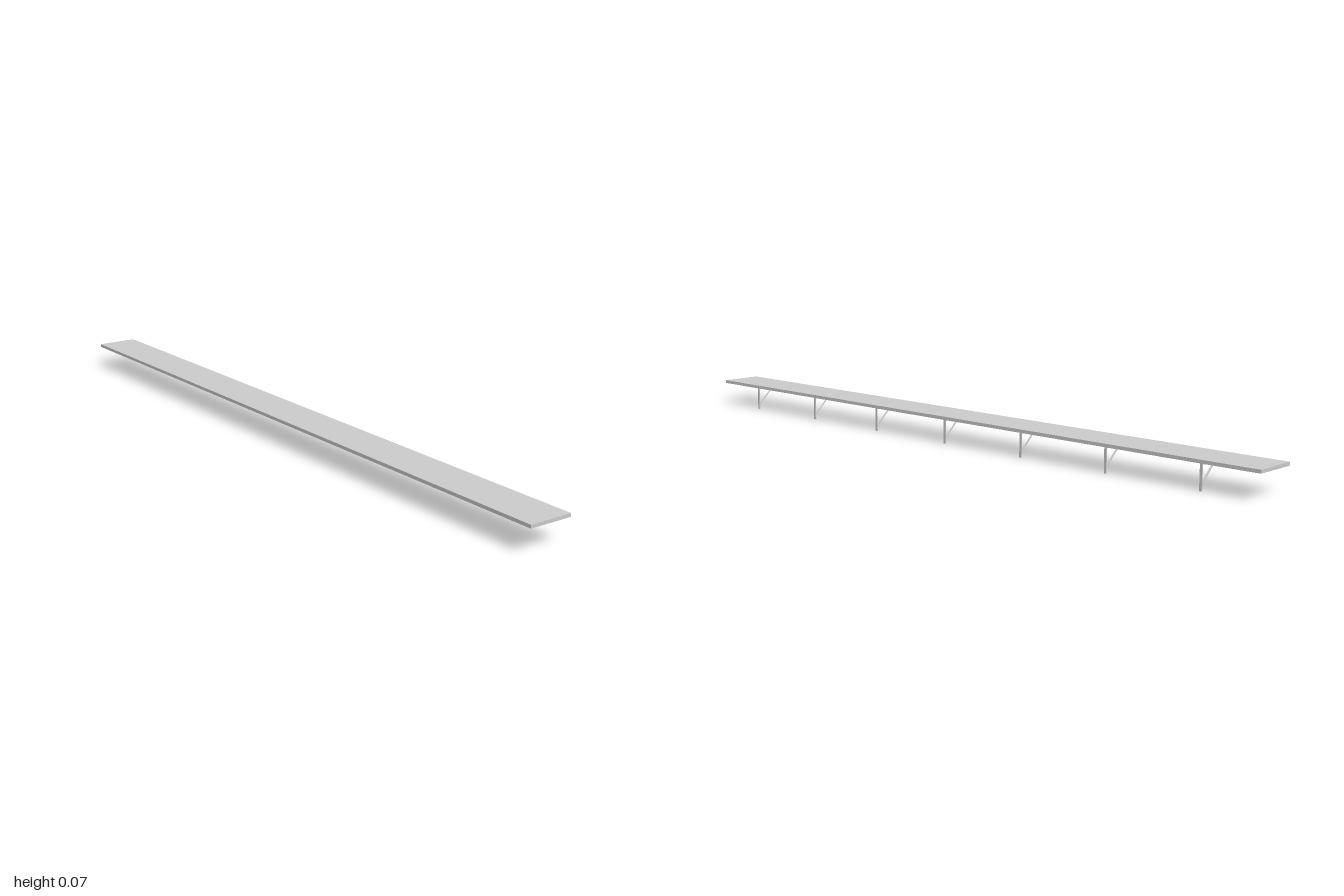
import * as THREE from 'three';

const material = new THREE.MeshStandardMaterial({ color: 0xcccccc, flatShading: true });

// Box spanning the given x and y limits, centred on z = 0
function bar(name, x0, x1, y0, y1, depth) {
  const mesh = new THREE.Mesh(new THREE.BoxGeometry(x1 - x0, y1 - y0, depth), material);
  mesh.name = name;
  mesh.position.set((x0 + x1) / 2, (y0 + y1) / 2, 0);
  return mesh;
}

// Flat-bar bracket: wall upright, arm under the shelf and diagonal brace
function createBracket() {
  const bracket = new THREE.Group();
  bracket.name = 'bracket';
  const width = 0.007, edge = 0.061, thick = 0.0025;
  bracket.add(bar('upright', edge - thick, edge, 0, 0.0655, width));
  bracket.add(bar('arm', -0.008, edge - thick, 0.063, 0.0655, width));

  const top = new THREE.Vector2(0.007, 0.0635);
  const bottom = new THREE.Vector2(0.0595, 0.0125);
  const span = bottom.clone().sub(top);
  const brace = new THREE.Mesh(new THREE.BoxGeometry(span.length(), 0.0016, 0.005), material);
  brace.name = 'brace';
  brace.position.set((top.x + bottom.x) / 2, (top.y + bottom.y) / 2, 0);
  brace.rotation.z = span.angle();
  bracket.add(brace);
  return bracket;
}

export function createModel() {
  const model = new THREE.Group();
  model.name = 'bracketShelf';

  // Long board
  model.add(bar('board', -0.0615, 0.0615, 0.0655, 0.0745, 2));

  // Seven evenly spaced brackets
  for (let i = 0; i < 7; i++) {
    const bracket = createBracket();
    bracket.position.z = 0.826 - i * 0.278;
    model.add(bracket);
  }
  return model;
}
